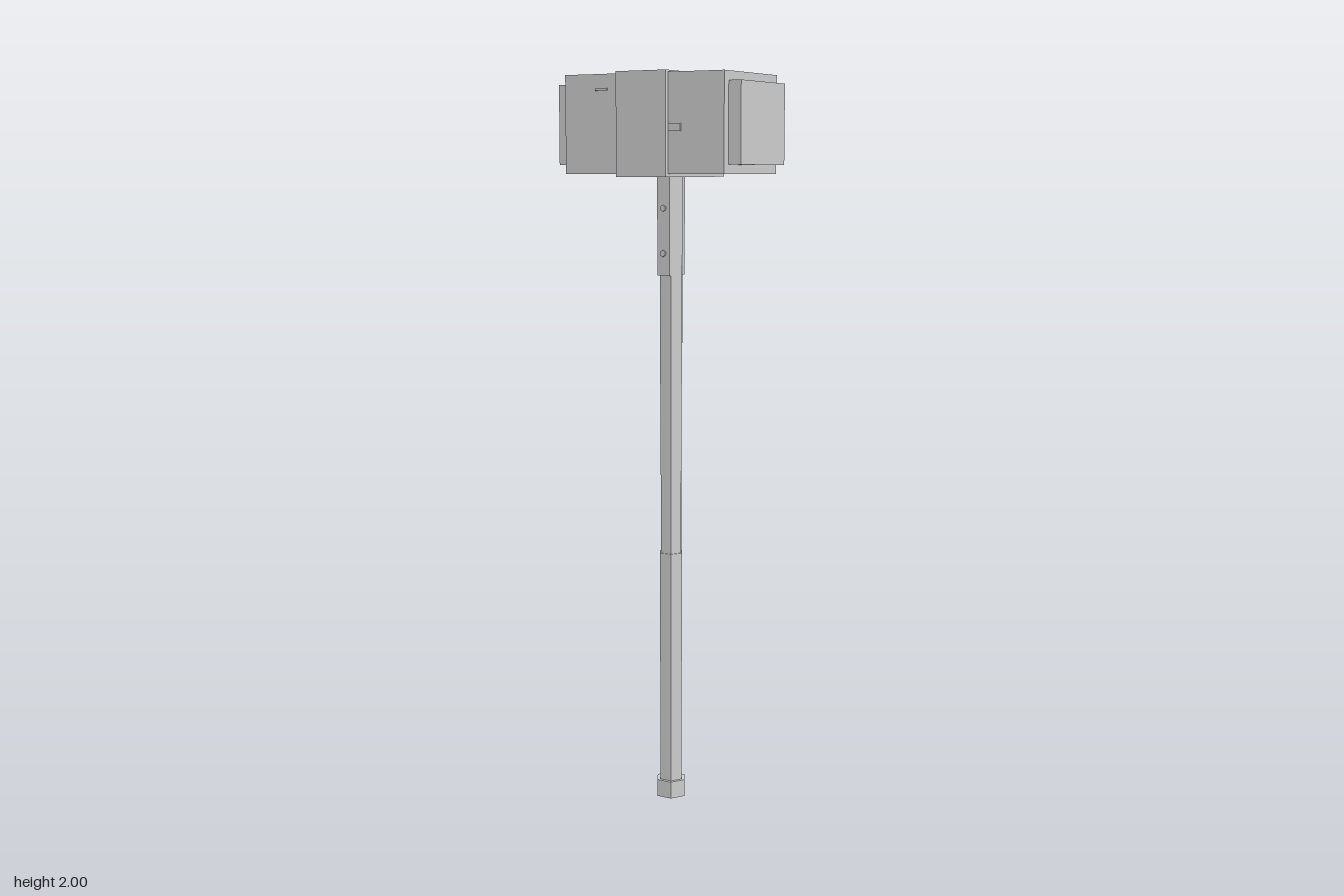
import * as THREE from 'three';

export function createModel() {
  const model = new THREE.Group();
  model.name = 'sledgehammer';
  const grey = new THREE.MeshStandardMaterial({ color: 0xcccccc, flatShading: true });
  grey.name = 'plain grey';

  const add = (parent, name, geometry, x, y, z) => {
    const mesh = new THREE.Mesh(geometry, grey);
    mesh.name = name;
    mesh.position.set(x, y, z);
    parent.add(mesh);
    return mesh;
  };
  // box between two heights
  const box = (parent, name, w, y0, y1, d, x = 0, z = 0) =>
    add(parent, name, new THREE.BoxGeometry(w, y1 - y0, d), x, (y0 + y1) / 2, z);
  // six-sided bar with corners on the x axis
  const hexBar = (parent, name, rBottom, rTop, y0, y1) =>
    add(parent, name, new THREE.CylinderGeometry(rTop, rBottom, y1 - y0, 6, 1, false, Math.PI / 2),
      0, (y0 + y1) / 2, 0);

  // Head: central band, two blocks and two striking faces
  const head = new THREE.Group();
  head.name = 'head';
  model.add(head);
  box(head, 'centreBand', 0.152, 1.728, 2, 0.31);
  for (const side of [-1, 1]) {
    box(head, 'headBlock', 0.168, 1.735, 1.995, 0.288, side * 0.158);
    box(head, 'strikingFace', 0.037, 1.759, 1.971, 0.242, side * 0.2595);
  }

  // Small raised chips on the front and back of the blocks: x, y, height, side
  for (const [x, y, h, s] of [
    [0.097, 1.855, 0.02, 1], [-0.127, 1.955, 0.006, 1],
    [0.137, 1.935, 0.02, -1], [-0.113, 1.84, 0.006, -1],
  ]) box(head, 'chip', 0.036, y - h / 2, y + h / 2, 0.008, x, s * 0.1435);

  // Handle: stepped hexagonal sections with a wider pommel
  const handle = new THREE.Group();
  handle.name = 'handle';
  model.add(handle);
  hexBar(handle, 'pommel', 0.044, 0.044, 0, 0.048);
  hexBar(handle, 'lowerGrip', 0.034, 0.034, 0.048, 0.39);
  hexBar(handle, 'upperGrip', 0.0355, 0.0355, 0.39, 0.7);
  hexBar(handle, 'middleShaft', 0.0325, 0.0325, 0.7, 1.17);
  hexBar(handle, 'upperShaft', 0.035, 0.035, 1.17, 1.74);

  // Straps down the front and back, each held by two rivets
  for (const s of [-1, 1]) {
    box(handle, 'strap', 0.038, 1.465, 1.735, 0.012, 0, s * 0.0345);
    for (const y of [1.525, 1.645]) {
      const rivet = add(handle, 'rivet', new THREE.CylinderGeometry(0.009, 0.009, 0.008, 6), 0, y, s * 0.041);
      rivet.rotation.x = Math.PI / 2;
    }
  }
  return model;
}
